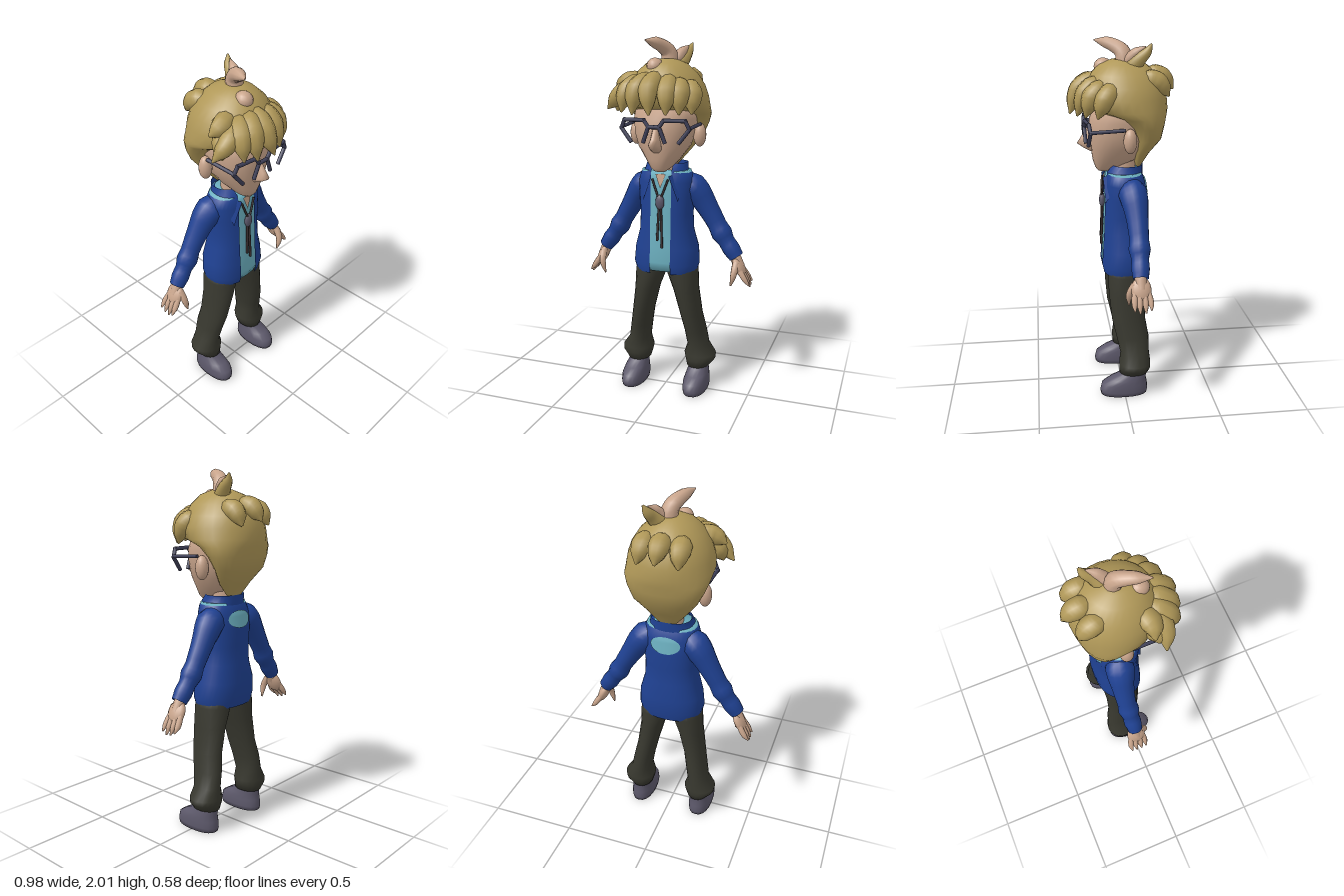
import * as THREE from 'three';
import { mergeVertices } from 'three/addons/utils/BufferGeometryUtils.js';

const V = (p) => new THREE.Vector3(...p);
const mat = (name, color, side = THREE.FrontSide) => {
  const m = new THREE.MeshStandardMaterial({ color, side });
  m.name = name;
  return m;
};

// Smooth normals across seams
function smooth(g) {
  g.deleteAttribute('normal');
  g.deleteAttribute('uv');
  g = mergeVertices(g, 1e-4);
  g.computeVertexNormals();
  return g;
}

// Stack of rounded horizontal rings [y, cx, cz, rx, rz]; gap leaves the front open by that half width
function loft(rings, { sides = 24, n = 2.3, gap = 0 } = {}) {
  const rows = gap ? rings
    : [[...rings[0].slice(0, 3), 0, 0], ...rings, [...rings.at(-1).slice(0, 3), 0, 0]];
  const pos = [], idx = [], pw = (v) => Math.sign(v) * Math.abs(v) ** (2 / n);
  rows.forEach(([y, cx, cz, rx, rz], i) => {
    const t0 = gap ? Math.asin((gap / rx) ** (n / 2)) : 0;
    for (let j = 0; j <= sides; j++) {
      const t = t0 + (Math.PI * 2 - 2 * t0) * j / sides;
      pos.push(cx + rx * pw(Math.sin(t)), y, cz + rz * pw(Math.cos(t)));
      if (i && j) {
        const d = i * (sides + 1) + j, c = d - 1, b = d - sides - 1, a = b - 1;
        idx.push(a, b, d, a, d, c);
      }
    }
  });
  const g = new THREE.BufferGeometry();
  g.setAttribute('position', new THREE.Float32BufferAttribute(pos, 3));
  g.setIndex(idx);
  return smooth(g);
}

// Tube along a curve whose radius follows evenly spaced values
function sweep(points, radii, sides = 10, seg = 14) {
  const curve = new THREE.CatmullRomCurve3(points.map(V));
  const g = new THREE.TubeGeometry(curve, seg, 1, sides), p = g.attributes.position, v = new THREE.Vector3();
  for (let i = 0; i < p.count; i++) {
    const t = Math.floor(i / (sides + 1)) / seg, f = t * (radii.length - 1);
    const k = Math.min(Math.floor(f), radii.length - 2), c = curve.getPointAt(t);
    v.fromBufferAttribute(p, i).sub(c).multiplyScalar(THREE.MathUtils.lerp(radii[k], radii[k + 1], f - k)).add(c);
    p.setXYZ(i, v.x, v.y, v.z);
  }
  return smooth(g);
}

const TORSO = [
  [0.71, 0, -0.02, 0.175, 0.125], [0.76, 0, -0.02, 0.19, 0.135], [0.85, 0, -0.025, 0.183, 0.135],
  [0.95, 0, -0.02, 0.155, 0.125], [1.05, 0, -0.02, 0.15, 0.122], [1.15, 0, -0.025, 0.158, 0.122],
  [1.23, 0, -0.02, 0.16, 0.115], [1.28, 0, -0.015, 0.145, 0.105], [1.31, 0, -0.01, 0.1, 0.09]];

// Depth of the torso surface at x, y (side 1 front, -1 back)
function torsoZ(x, y, side) {
  let k = 0;
  while (k < TORSO.length - 2 && TORSO[k + 1][0] < y) k++;
  const a = TORSO[k], b = TORSO[k + 1], t = THREE.MathUtils.clamp((y - a[0]) / (b[0] - a[0]), 0, 1);
  const [, , cz, rx, rz] = a.map((v, i) => THREE.MathUtils.lerp(v, b[i], t));
  return cz + side * rz * Math.max(0, 1 - Math.abs(x / rx) ** 2.3) ** (1 / 2.3);
}

// Flat panel laid over the chest
function panel(points, offset) {
  const g = new THREE.ShapeGeometry(new THREE.Shape(points.map((p) => new THREE.Vector2(...p))));
  const p = g.attributes.position;
  for (let i = 0; i < p.count; i++) p.setZ(i, torsoZ(p.getX(i), p.getY(i), 1) + offset);
  g.computeVertexNormals();
  return g;
}

export function createModel() {
  const root = new THREE.Group();
  const skin = mat('skin', 0xc9a58c, THREE.DoubleSide), hair = mat('hair', 0xb09858);
  const blue = mat('jacketBlue', 0x1f4192, THREE.DoubleSide), shirt = mat('shirtBlue', 0x6cb0c0, THREE.DoubleSide);
  const dark = mat('trouserDark', 0x38382f), grey = mat('shoeGrey', 0x5c586a);
  const frame = mat('frameSlate', 0x3f4058), cord = mat('cordBrown', 0x3a2f30);
  const add = (name, g, m) => {
    const mesh = new THREE.Mesh(g, m);
    mesh.name = name;
    root.add(mesh);
    return mesh;
  };
  const ball = (name, m, pos, scale) => {
    const b = add(name, new THREE.SphereGeometry(1, 16, 12), m);
    b.position.set(...pos);
    b.scale.set(...scale);
    return b;
  };
  const rods = (name, pts, r, m) => pts.slice(1).forEach((p, i) => {
    const a = V(pts[i]), d = V(p).sub(a);
    const rod = add(name, new THREE.CylinderGeometry(r, r, d.length() + r, 8), m);
    rod.position.copy(a).addScaledVector(d, 0.5);
    rod.quaternion.setFromUnitVectors(new THREE.Vector3(0, 1, 0), d.normalize());
  });

  // Head
  add('head', loft([[1.297, 0, 0.095, 0.03, 0.03], [1.315, 0, 0.08, 0.055, 0.06], [1.36, 0, 0.035, 0.09, 0.12],
    [1.43, 0, 0.015, 0.14, 0.15], [1.5, 0, 0.005, 0.163, 0.168], [1.58, 0, 0, 0.172, 0.172],
    [1.66, 0, -0.01, 0.16, 0.15]]), skin);
  add('nose', loft([[1.405, 0, 0.15, 0.02, 0.015], [1.425, 0, 0.165, 0.032, 0.04], [1.45, 0, 0.18, 0.032, 0.06],
    [1.48, 0, 0.17, 0.024, 0.05], [1.54, 0, 0.16, 0.015, 0.02]], { sides: 12, n: 2 }), skin);
  add('neck', new THREE.CylinderGeometry(0.06, 0.065, 0.22, 16), skin).position.set(0, 1.29, -0.02);

  // Hair cap, sweeping down to a point at the nape
  add('hairCap', loft([[1.32, 0, -0.095, 0.045, 0.015], [1.4, 0, -0.105, 0.115, 0.05], [1.48, 0, -0.135, 0.175, 0.085],
    [1.55, 0, -0.125, 0.21, 0.11], [1.6, 0, -0.1, 0.228, 0.145], [1.64, 0, -0.04, 0.234, 0.212],
    [1.7, 0, -0.025, 0.226, 0.222], [1.76, 0, -0.02, 0.205, 0.21], [1.82, 0, -0.015, 0.166, 0.178],
    [1.87, 0, -0.01, 0.11, 0.125], [1.895, 0, -0.01, 0.05, 0.06]], { sides: 28, n: 2.05 }), hair);

  // Fringe, side and back locks
  [
    [[-0.08, 1.77, 0.1], [-0.2, 1.71, 0.15], [-0.29, 1.63, 0.13]],
    [[-0.1, 1.78, 0.06], [-0.19, 1.77, 0.09], [-0.26, 1.74, 0.08]],
    [[-0.14, 1.72, 0.08], [-0.21, 1.68, 0.12], [-0.23, 1.62, 0.14]],
    [[-0.08, 1.79, 0.1], [-0.15, 1.73, 0.19], [-0.17, 1.62, 0.23]],
    [[-0.03, 1.8, 0.11], [-0.09, 1.74, 0.21], [-0.1, 1.61, 0.255]],
    [[0, 1.81, 0.11], [-0.02, 1.74, 0.22], [0, 1.61, 0.275]],
    [[0.06, 1.8, 0.1], [0.07, 1.73, 0.19], [0.08, 1.61, 0.24]],
    [[0.1, 1.78, 0.08], [0.13, 1.72, 0.16], [0.14, 1.61, 0.2]],
    [[0.13, 1.77, 0.04], [0.18, 1.71, 0.1], [0.19, 1.61, 0.14]],
    [[0, 1.82, -0.13], [0, 1.8, -0.22], [0, 1.735, -0.285]],
    [[0.09, 1.81, -0.1], [0.1, 1.78, -0.19], [0.11, 1.71, -0.245]],
    [[-0.09, 1.81, -0.1], [-0.1, 1.78, -0.19], [-0.11, 1.71, -0.245]],
  ].forEach((pts) => add('hairLock', sweep(pts, [0.03, 0.055, 0.055, 0.04, 0.004]), hair));

  // Curls on the crown
  ball('crownPatch', skin, [-0.03, 1.855, 0.09], [0.045, 0.045, 0.05]);
  add('crownCurl', sweep([[0.02, 1.85, -0.02], [0.01, 1.93, -0.01], [-0.02, 1.967, 0.04], [-0.07, 1.99, 0.135]],
    [0.05, 0.045, 0.038, 0.03, 0.003]), skin);
  add('backCurl', sweep([[0.04, 1.84, -0.04], [0.075, 1.9, -0.09], [0.09, 1.94, -0.13], [0.105, 1.98, -0.15]],
    [0.05, 0.045, 0.035, 0.025, 0.004]), hair);
  add('backCurlFront', sweep([[0.03, 1.86, -0.02], [0.065, 1.925, -0.065], [0.09, 1.965, -0.12]],
    [0.03, 0.032, 0.025, 0.003]), skin);

  // Jacket with open front, shirt beneath
  add('jacket', loft(TORSO, { gap: 0.06, sides: 32 }), blue);
  add('shirt', loft(TORSO.slice(0, 8).map(([y, x, z, rx, rz]) => [y + 0.015, x, z, rx * 0.95, rz * 0.95])), shirt);
  add('collar', loft([[1.25, 0, -0.015, 0.15, 0.105], [1.3, 0, -0.015, 0.12, 0.105], [1.335, 0, -0.03, 0.115, 0.09]],
    { gap: 0.06 }), blue);
  add('openNeck', panel([[0, 1.2], [0.03, 1.28], [-0.03, 1.28]], 0.004), skin);
  const patch = new THREE.RingGeometry(0, 1, 32, 6), pp = patch.attributes.position;
  for (let i = 0; i < pp.count; i++) {
    const x = -pp.getX(i) * 0.085, y = 1.205 + pp.getY(i) * 0.048;
    pp.setXYZ(i, x, y, torsoZ(x, y, -1) - 0.006);
  }
  add('backPatch', smooth(patch), shirt);

  // Cord tie with clasp
  ball('tieClasp', grey, [0, 1.125, 0.105], [0.026, 0.042, 0.016]);

  for (const s of [1, -1]) {
    const X = (pts) => pts.map(([x, y, z]) => [x * s, y, z]);
    add('collarFlap', panel([[0.05, 1.27], [0.125, 1.3], [0.1, 1.13]].map(([x, y]) => [x * s, y]), 0.016), blue);
    rods('tieCord', X([[0.045, 1.25, 0.1], [0.008, 1.15, 0.108]]), 0.006, cord);
    rods('tieCord', X([[0.006, 1.1, 0.104], [0.014, s > 0 ? 0.87 : 0.91, 0.112]]), 0.007, cord);
    ball('ear', skin, [s * 0.185, 1.49, -0.03], [0.036, 0.066, 0.036]);

    // Glasses
    rods('glassesFrame', X([[0, 1.545, 0.202], [0.03, 1.545, 0.2], [0.055, 1.58, 0.198], [0.17, 1.58, 0.185],
      [0.19, 1.535, 0.178], [0.135, 1.465, 0.185]]), 0.011, frame);
    rods('glassesFrame', X([[0.03, 1.545, 0.2], [0.06, 1.465, 0.195]]), 0.011, frame);
    rods('glassesTemple', X([[0.19, 1.54, 0.178], [0.195, 1.55, 0]]), 0.01, frame);

    // Sleeve with a creased cuff
    add('sleeve', sweep(X([[0.1, 1.23, -0.04], [0.165, 1.17, -0.055], [0.25, 1.04, -0.065], [0.32, 0.92, -0.065],
      [0.4, 0.805, -0.06]]), [0.06, 0.08, 0.075, 0.066, 0.06, 0.056, 0.053, 0.06, 0.047, 0.05, 0.042], 14, 20), blue);

    // Hand
    add('wrist', sweep(X([[0.36, 0.86, -0.06], [0.39, 0.81, -0.06], [0.42, 0.75, -0.06]]), [0.03, 0.032, 0.03]), skin);
    ball('palm', skin, [s * 0.418, 0.75, -0.06], [0.028, 0.068, 0.054]).rotation.z = s * 0.45;
    [[-0.107, 0.66], [-0.078, 0.645], [-0.048, 0.64], [-0.02, 0.655]].forEach(([z, y]) => add('finger',
      sweep(X([[0.425, 0.74, z * 0.8 - 0.01], [0.458, 0.69, z], [0.485, y, z]]), [0.015, 0.017, 0.015, 0.004], 8, 8), skin));
    add('thumb', sweep(X([[0.405, 0.78, -0.03], [0.4, 0.72, 0], [0.383, 0.65, 0]]), [0.02, 0.02, 0.016, 0.004], 8, 8), skin);

    // Trouser leg and shoe
    add('trouserLeg', loft([[0.13, 0.185, -0.055, 0.065, 0.082], [0.17, 0.196, -0.06, 0.088, 0.09],
      [0.2, 0.194, -0.06, 0.093, 0.09], [0.26, 0.183, -0.06, 0.062, 0.083], [0.35, 0.168, -0.05, 0.06, 0.092],
      [0.45, 0.148, -0.03, 0.06, 0.095], [0.6, 0.118, -0.022, 0.07, 0.102], [0.71, 0.094, -0.024, 0.09, 0.107],
      [0.8, 0.08, -0.024, 0.085, 0.1]].map(([y, x, ...r]) => [y, x * s, ...r]), { sides: 18, n: 2.1 }), dark);
    add('shoe', loft([[0, 0.19, 0.003, 0.066, 0.134], [0.025, 0.19, 0.003, 0.07, 0.139], [0.065, 0.19, 0, 0.068, 0.132],
      [0.095, 0.19, -0.02, 0.062, 0.105], [0.12, 0.188, -0.05, 0.056, 0.078], [0.16, 0.186, -0.055, 0.052, 0.068]]
      .map(([y, x, ...r]) => [y, x * s, ...r]), { sides: 20 }), grey);
  }
  return root;
}
